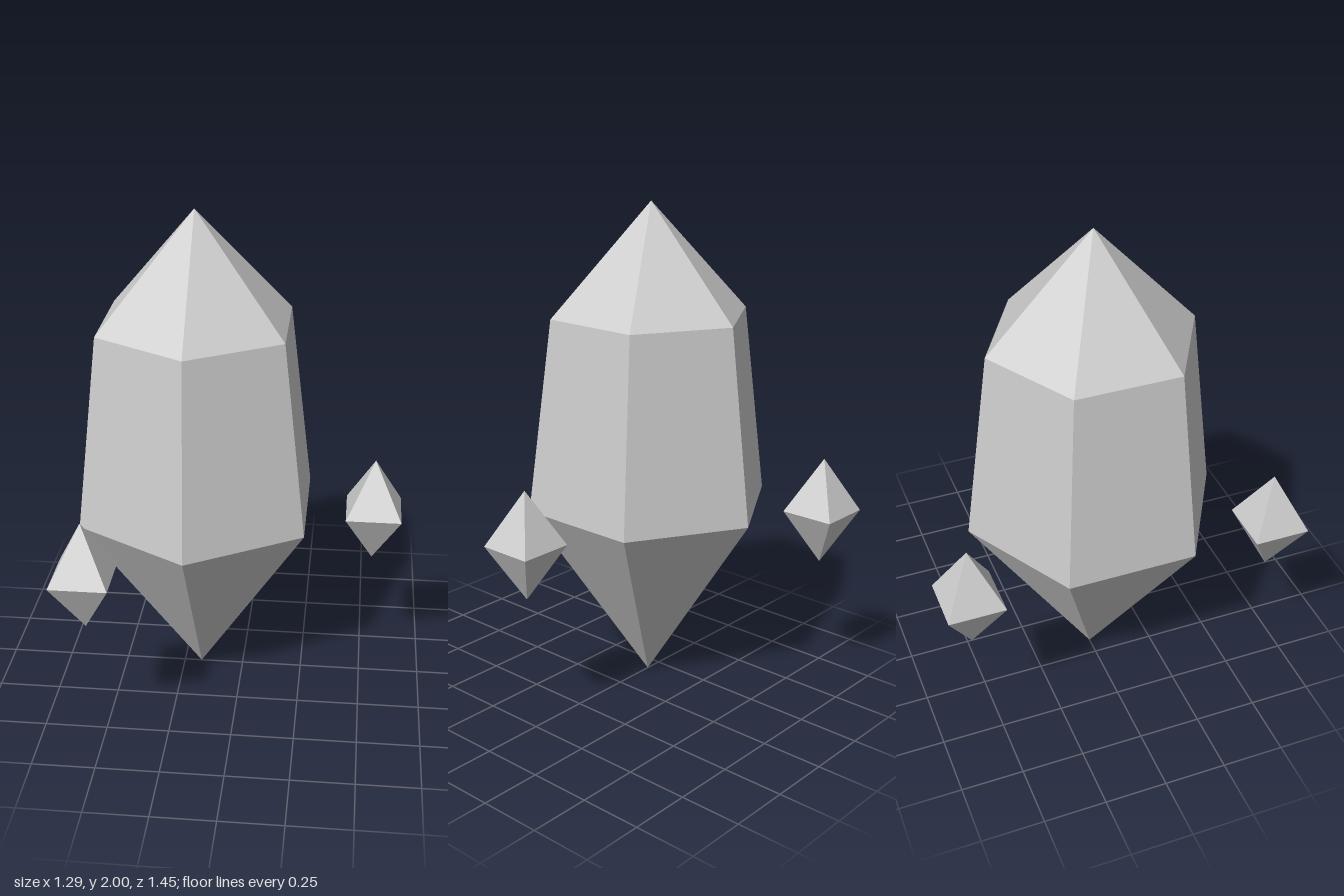
import * as THREE from 'three';

const BODY_X = -0.178, GIRDLE_Y = 0.78, ORBIT_RADIUS = 0.71;

// Faceted gem: a [radius, y] profile from bottom to top, turned in a few sides
function gem(name, profile, sides, startAngle, material) {
  const points = profile.map(([r, y]) => new THREE.Vector2(r, y));
  const mesh = new THREE.Mesh(new THREE.LatheGeometry(points, sides, startAngle), material);
  mesh.name = name;
  return mesh;
}

export function createModel() {
  const model = new THREE.Group();
  model.name = 'crystalCluster';
  const crystal = new THREE.MeshStandardMaterial({ color: 0xcccccc, flatShading: true });
  crystal.name = 'pale grey crystal';

  // Large six-sided crystal with tapered walls, an upper cap and a lower point
  const body = gem('mainCrystal', [[0, 0], [0.51, GIRDLE_Y], [0.41, 1.56], [0, 2]], 6, 0, crystal);
  body.position.x = BODY_X;
  model.add(body);

  // Three small octahedral shards floating around the widest ring
  for (let i = 0; i < 3; i++) {
    const angle = (i * Math.PI * 2) / 3;
    const shard = gem('shard' + (i + 1), [[0, -0.22], [0.156, 0], [0, 0.22]], 4, Math.PI / 4, crystal);
    shard.position.set(BODY_X + ORBIT_RADIUS * Math.cos(angle), GIRDLE_Y, ORBIT_RADIUS * Math.sin(angle));
    model.add(shard);
  }
  return model;
}
